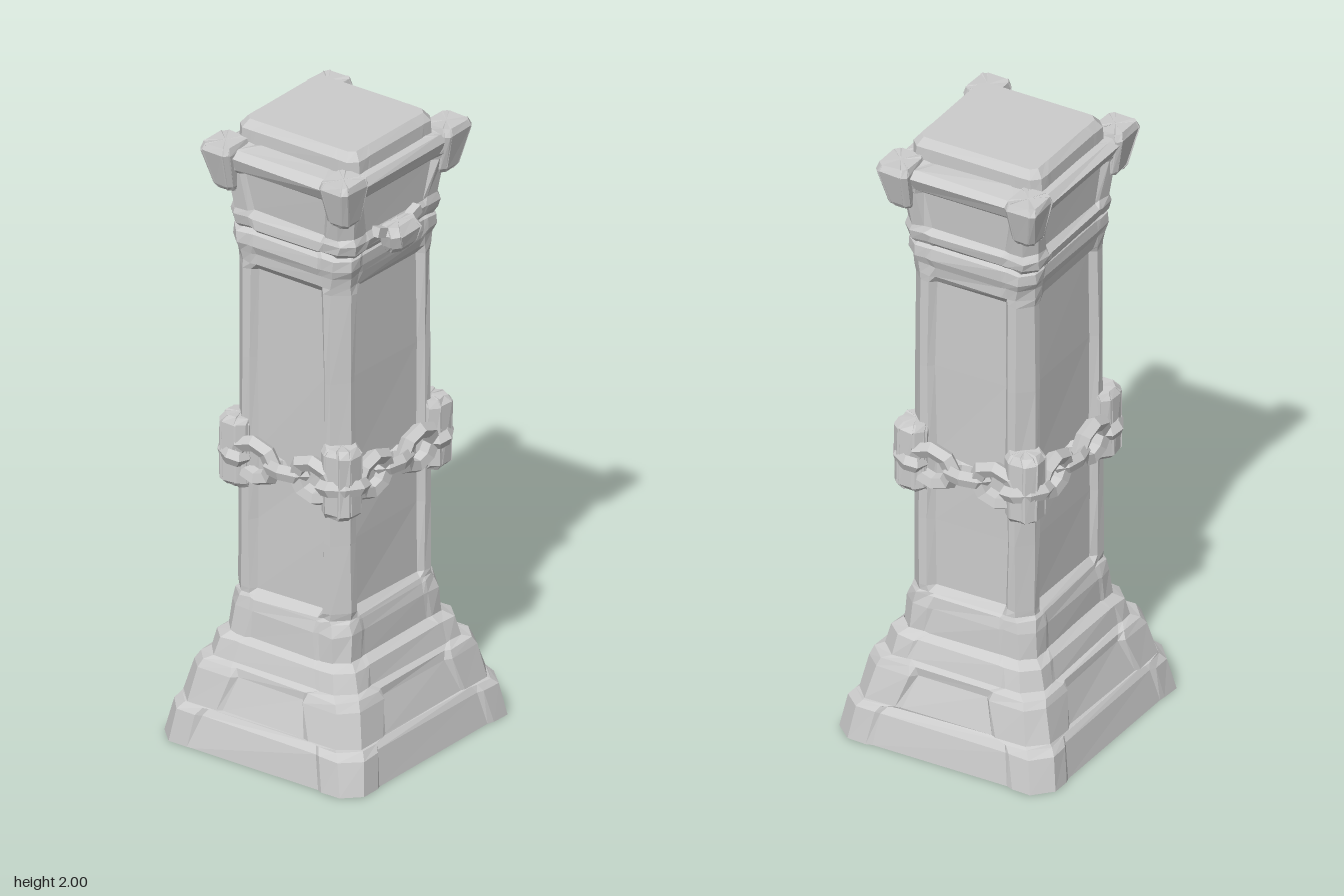
import * as THREE from 'three';

const stone = new THREE.MeshStandardMaterial({ color: 0xcccccc, side: THREE.DoubleSide });
stone.name = 'stone';

// Small seeded generator for the hand-chiselled irregularity
let seed = 7;
const rand = () => {
  seed = (seed * 16807) % 2147483647;
  return seed / 2147483647 - 0.5;
};

const CORNERS = [[1, -1], [-1, -1], [-1, 1], [1, 1]];

// Chamfered rectangle whose four sides are set back by `recess` between corner posts
function section({ y, hx, hz, c, post, recess = 0, slope = 0.018, cx = 0, cz = 0 }) {
  const ring = [];
  for (const [sx, sz] of CORNERS) {
    const pts = [
      [hx - recess, hz - post - slope], [hx, hz - post], [hx, hz - c],
      [hx - c, hz], [hx - post, hz], [hx - post - slope, hz - recess],
    ];
    if (sx * sz > 0) pts.reverse();
    for (const [x, z] of pts) ring.push([cx + sx * x, y, cz + sz * z]);
  }
  return ring;
}

// Skin a stack of sections, with optional flat ends
function loft(name, sections, { rough = 0, bottom = false, top = false } = {}) {
  const rings = sections.map((s) => section(s).map(([x, y, z]) =>
    [x + rand() * rough, y + (y > 0 && y < 1.99 ? rand() * rough : 0), z + rand() * rough]));
  const pos = [];
  const tri = (a, b, c) => pos.push(...a, ...b, ...c);
  const n = rings[0].length;
  for (let k = 0; k < rings.length - 1; k++) {
    const a = rings[k], b = rings[k + 1];
    for (let i = 0; i < n; i++) {
      const j = (i + 1) % n;
      tri(a[i], a[j], b[j]);
      tri(a[i], b[j], b[i]);
    }
  }
  const cap = (ring, up) => {
    const mid = [0, 1, 2].map((k) => ring.reduce((sum, p) => sum + p[k] / n, 0));
    for (let i = 0; i < n; i++) {
      const j = (i + 1) % n;
      if (up) tri(mid, ring[i], ring[j]);
      else tri(mid, ring[j], ring[i]);
    }
  };
  if (bottom) cap(rings[0], false);
  if (top) cap(rings[rings.length - 1], true);
  const geo = new THREE.BufferGeometry();
  geo.setAttribute('position', new THREE.Float32BufferAttribute(pos, 3));
  geo.computeVertexNormals();
  const mesh = new THREE.Mesh(geo, stone);
  mesh.name = name;
  return mesh;
}

// Rows of [y, half width, half depth, chamfer, post width, recess]
const rows = (list) => list.map(([y, hx, hz, c, post, recess]) => ({ y, hx, hz, c, post, recess }));

// Small bevelled block from rows of [y, x, z, half width, half depth]
const block = (list, bevel, sx, sz) => list.map(([y, x, z, hx, hz]) => ({
  y, hx, hz, c: bevel, post: bevel * 1.3, slope: 0.002, cx: sx * x, cz: sz * z,
}));

// Chunky chain link with few flat sides
function linkGeometry(length, width) {
  const geo = new THREE.TorusGeometry(0.06, 0.026, 5, 8).toNonIndexed();
  geo.scale(length, width, 1);
  geo.computeVertexNormals();
  return geo;
}

export function createModel() {
  const model = new THREE.Group();
  model.name = 'stonePillar';

  // Stepped plinth, hollow underneath
  model.add(loft('plinth', rows([
    [0, 0.40, 0.37, 0.055, 0.12, 0.006],
    [0.105, 0.382, 0.352, 0.055, 0.12, 0.01],
    [0.125, 0.366, 0.336, 0.055, 0.12, 0.01],
    [0.13, 0.36, 0.33, 0.055, 0.16, 0.008],
    [0.235, 0.336, 0.306, 0.05, 0.17, 0.018],
    [0.26, 0.324, 0.294, 0.05, 0.15, 0.008],
    [0.27, 0.300, 0.270, 0.05, 0.1, 0.002],
    [0.33, 0.285, 0.255, 0.045, 0.1, 0.002],
    [0.35, 0.256, 0.226, 0.04, 0.09, 0.002],
  ]), { rough: 0.006 }));
  model.add(loft('plinthCeiling', rows([
    [0.255, 0.295, 0.265, 0.05, 0.1, 0], [0.258, 0.295, 0.265, 0.05, 0.1, 0],
  ]), { bottom: true, top: true }));

  // Shaft with a recessed panel on each side
  const shaft = loft('shaft', rows([
    [0.345, 0.258, 0.228, 0.04, 0.09, 0.002],
    [0.43, 0.251, 0.221, 0.04, 0.09, 0.002],
    [0.465, 0.243, 0.212, 0.04, 0.08, 0.002],
    [0.475, 0.237, 0.207, 0.042, 0.072, 0.002],
    [0.495, 0.237, 0.207, 0.042, 0.07, 0.022],
    [0.72, 0.237, 0.207, 0.042, 0.066, 0.022],
    [0.95, 0.236, 0.206, 0.042, 0.07, 0.022],
    [1.25, 0.236, 0.206, 0.042, 0.066, 0.022],
    [1.54, 0.236, 0.206, 0.042, 0.07, 0.022],
    [1.565, 0.236, 0.206, 0.042, 0.075, 0.002],
    [1.6, 0.239, 0.210, 0.04, 0.08, 0.002],
    [1.625, 0.247, 0.218, 0.04, 0.08, 0.002],
    [1.66, 0.246, 0.218, 0.04, 0.08, 0.002],
    [1.68, 0.225, 0.2, 0.04, 0.08, 0.002],
  ]), { rough: 0.006 });
  shaft.position.x = -0.004;
  model.add(shaft);

  // Flared capital
  model.add(loft('capital', rows([
    [1.66, 0.222, 0.208, 0.035, 0.09, 0],
    [1.68, 0.24, 0.226, 0.035, 0.09, 0],
    [1.71, 0.244, 0.232, 0.035, 0.09, 0],
    [1.73, 0.236, 0.224, 0.035, 0.08, 0.008],
    [1.85, 0.255, 0.238, 0.035, 0.07, 0.018],
    [1.87, 0.27, 0.252, 0.035, 0.07, 0.006],
    [1.91, 0.286, 0.264, 0.035, 0.07, 0.002],
    [1.93, 0.262, 0.246, 0.035, 0.07, 0.002],
    [1.935, 0.2, 0.21, 0.02, 0.07, 0],
  ]), { rough: 0.008, bottom: true }));
  model.add(loft('topSlab', rows([
    [1.92, 0.2, 0.222, 0.025, 0.06, 0],
    [1.975, 0.2, 0.22, 0.025, 0.06, 0],
    [2.0, 0.18, 0.2, 0.018, 0.06, 0],
  ]), { rough: 0.002, top: true }));

  // Horn blocks on the capital and clamp blocks behind the chain
  for (const [sx, sz] of CORNERS) {
    model.add(loft('cornerHorn', block([
      [1.795, 0.235, 0.211, 0.034, 0.030],
      [1.81, 0.238, 0.213, 0.042, 0.038],
      [1.925, 0.251, 0.220, 0.062, 0.053],
      [1.947, 0.249, 0.219, 0.055, 0.047],
    ], 0.012, sx, sz), { rough: 0.004, bottom: true, top: true }));
    model.add(loft('chainClamp', block([
      [0.825, 0.215, 0.185, 0.044, 0.044],
      [0.84, 0.220, 0.190, 0.052, 0.052],
      [1.03, 0.220, 0.190, 0.052, 0.052],
      [1.05, 0.215, 0.185, 0.044, 0.044],
    ], 0.022, sx, sz), { rough: 0.007, bottom: true, top: true }));
  }

  // Chain: upright and flat links alternating along each side and round the corners
  const chain = new THREE.Group();
  chain.name = 'chain';
  const uprightLink = linkGeometry(1.15, 1.0);
  const flatLink = linkGeometry(1.0, 0.62);
  const addLink = (x, z, yaw, flat) => {
    const link = new THREE.Mesh(flat ? flatLink : uprightLink, stone);
    link.name = 'chainLink';
    link.rotation.set(flat ? Math.PI / 2 - 0.15 : 0.12, yaw, 0, 'YXZ');
    link.position.set(x, 0.925, z);
    chain.add(link);
  };
  for (let side = 0; side < 4; side++) {
    const yaw = side * Math.PI / 2;
    const reach = side % 2 ? 0.248 : 0.22;
    const s = Math.sin(yaw), c = Math.cos(yaw);
    for (const along of [-0.11, 0, 0.11]) {
      const out = along === 0 ? reach - 0.01 : reach;
      addLink(s * out + c * along, c * out - s * along, yaw, along === 0);
    }
  }
  for (const [sx, sz] of CORNERS) {
    addLink(sx * 0.227, sz * 0.2, Math.atan2(sx, sz), true);
  }
  model.add(chain);

  // Carved knob on the front of the capital, with a sloping arm at each side
  model.add(loft('frontKnob', block([
    [1.64, -0.01, 0.238, 0.045, 0.028],
    [1.66, -0.01, 0.243, 0.058, 0.037],
    [1.70, -0.01, 0.245, 0.07, 0.041],
    [1.725, -0.01, 0.238, 0.058, 0.03],
  ], 0.018, 1, 1), { rough: 0.005, bottom: true, top: true }));
  for (const side of [-1, 1]) {
    const arm = new THREE.Mesh(new THREE.BoxGeometry(0.06, 0.03, 0.05), stone);
    arm.name = 'knobArm';
    arm.position.set(-0.01 + side * 0.075, 1.715, 0.222);
    arm.rotation.z = side * 0.35;
    model.add(arm);
  }
  return model;
}
